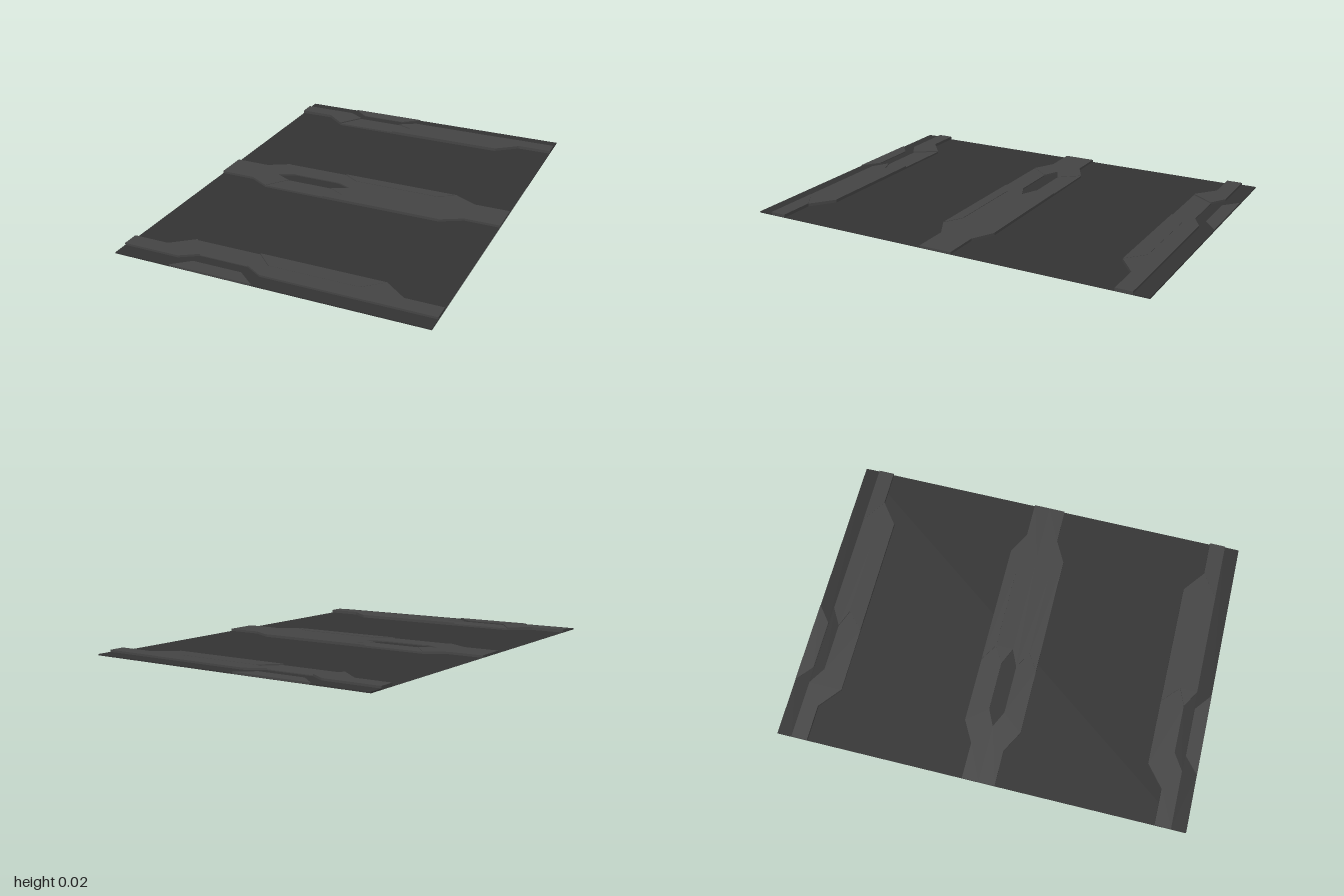
import * as THREE from 'three';

const lightMat = new THREE.MeshStandardMaterial({ color: 0x444444, flatShading: true });
const darkMat = new THREE.MeshStandardMaterial({ color: 0x333333, flatShading: true });
const floorMat = new THREE.MeshStandardMaterial({ color: 0x333333, side: THREE.DoubleSide });

const W = 0.745; // half width of the panel
const BASE = 0.0008; // plates start just above the floor sheet

// Flat plate with an outline in x/z and its top at the given height
function plate(name, points, height, material = lightMat) {
  const shape = new THREE.Shape(points.map(([x, z]) => new THREE.Vector2(x, z)));
  const geo = new THREE.ExtrudeGeometry(shape, { depth: height - BASE, bevelEnabled: false });
  geo.rotateX(Math.PI / 2).translate(0, height, 0);
  const mesh = new THREE.Mesh(geo, material);
  mesh.name = name;
  return mesh;
}

// One half of a raised rib: z = z0 + dir * distance from the rib's inner line
function halfRib(name, z0, dir, [a, b, c, d], h) {
  const rib = new THREE.Group();
  rib.name = name;
  const add = (part, pts, height, mat) =>
    rib.add(plate(part, pts.map(([x, t]) => [x, z0 + dir * t]), height, mat));
  add('rightEndPlate', [[-W, 0], [-W, b], [-0.57, b], [-0.465, c], [-0.385, a], [-0.465, 0]], h.end);
  add('lowPlate', [[-0.465, c], [-0.145, c], [-0.06, d], [-0.145, a], [-0.385, a]], h.low);
  add('rail', [[-0.145, c], [0.46, c], [0.37, d], [-0.06, d]], h.rail);
  add('bodyPlate', [[-0.06, 0], [-0.145, a], [-0.06, d], [0.37, d], [0.46, c], [0.57, b], [0.45, 0]], h.body);
  add('leftEndPlate', [[0.45, 0], [0.57, b], [W, b], [W, 0]], h.end);
  add('recess', [[-0.465, 0], [-0.385, a], [-0.145, a], [-0.06, 0]], h.recess, darkMat);
  return rib;
}

export function createModel() {
  const model = new THREE.Group();
  model.name = 'floorPanel';

  // Thin floor sheet
  const floor = new THREE.Mesh(new THREE.PlaneGeometry(2 * W, 2).rotateX(-Math.PI / 2), floorMat);
  floor.name = 'floorSheet';
  model.add(floor);

  for (const s of [1, -1]) {
    const side = s > 0 ? 'front' : 'back';
    // Half of the middle rib
    model.add(halfRib(side + 'MiddleRib', 0, s, [0.038, 0.08, 0.138, 0.085],
      { end: 0.012, low: 0.01, rail: 0.014, body: 0.012, recess: 0.005 }));
    // Rib near the end of the panel
    model.add(halfRib(side + 'EndRib', s * 0.927, -s, [0.05, 0.078, 0.163, 0.083],
      { end: 0.016, low: 0.01, rail: 0.016, body: 0.015, recess: 0.006 }));
    // Low border with an inset tapered plate
    const border = [[-W, 0.927], [W, 0.927], [W, 1], [-0.06, 1], [-0.145, 0.932],
      [-0.385, 0.932], [-0.465, 1], [-W, 1]];
    const inset = [[-0.465, 1], [-0.385, 0.932], [-0.145, 0.932], [-0.06, 1]];
    const place = (pts) => pts.map(([x, z]) => [x, s * z]);
    model.add(plate(side + 'Border', place(border), 0.006, darkMat));
    model.add(plate(side + 'BorderInset', place(inset), 0.01));
  }
  return model;
}
